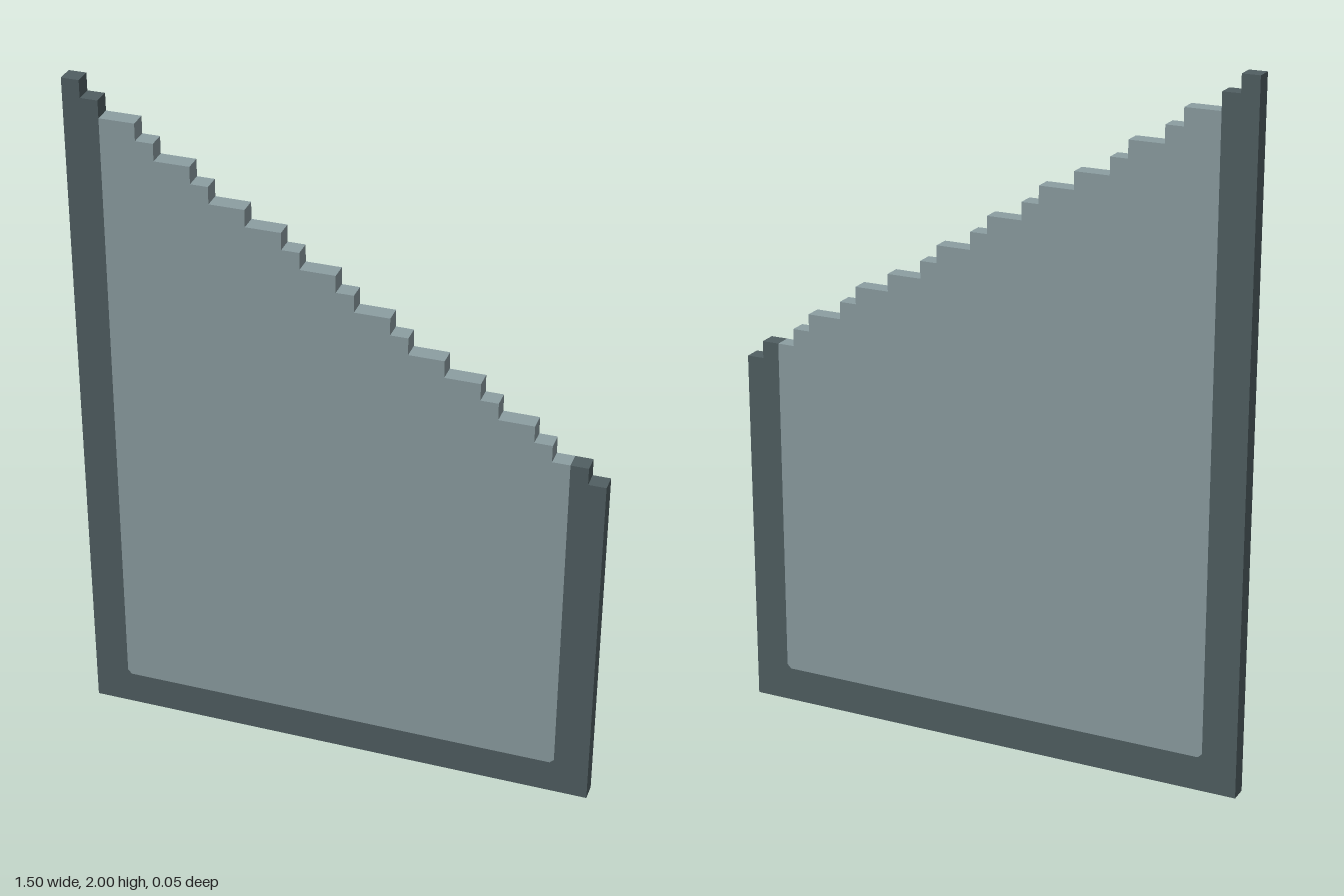
import * as THREE from 'three';

const STEP = 0.05, DEPTH = 0.05, EDGE = 0.65, HALF = 0.75, SILL = 0.1, CUT = 0.012;
// Tread widths of the stepped top edge, in steps, from the tall side down
const TREADS = [1, 1, 2, 1, 2, 1, 2, 2, 1, 2, 1, 2, 1, 2, 2, 1, 2, 1, 2, 1];

// Stepped top outline between two x positions, from left to right
function steppedTop(from, to) {
  const points = [];
  let x0 = -HALF;
  TREADS.forEach((width, i) => {
    const x1 = x0 + width * STEP, y = 2 - i * STEP;
    const a = Math.max(x0, from), b = Math.min(x1, to);
    if (b - a > 1e-4) points.push([a, y], [b, y]);
    x0 = x1;
  });
  return points;
}

function slab(name, points, material) {
  const shape = new THREE.Shape(points.map(([x, y]) => new THREE.Vector2(x, y)));
  const geometry = new THREE.ExtrudeGeometry(shape, { depth: DEPTH, bevelEnabled: false });
  geometry.translate(0, 0, -DEPTH / 2);
  const mesh = new THREE.Mesh(geometry, material);
  mesh.name = name;
  return mesh;
}

export function createModel() {
  const frameMaterial = new THREE.MeshStandardMaterial({ color: 0x515f62 });
  frameMaterial.name = 'dark frame';
  const paneMaterial = new THREE.MeshStandardMaterial({ color: 0x8c9ea2 });
  paneMaterial.name = 'grey glass';

  // Inner lower edge shared by pane and frame, with clipped corners
  const innerEdge = [
    [-EDGE, SILL + CUT], [-EDGE + CUT, SILL], [EDGE - CUT, SILL], [EDGE, SILL + CUT],
  ];

  const group = new THREE.Group();
  group.name = 'slopedPanel';
  group.add(
    // U-shaped frame: two posts and a sill, flush with the pane
    slab('frame', [
      [-HALF, 0], ...steppedTop(-HALF, -EDGE), ...innerEdge,
      ...steppedTop(EDGE, HALF), [HALF, 0],
    ], frameMaterial),
    // Pane with the stepped sloping top
    slab('pane', [...innerEdge, ...steppedTop(-EDGE, EDGE).reverse()], paneMaterial),
  );
  return group;
}
